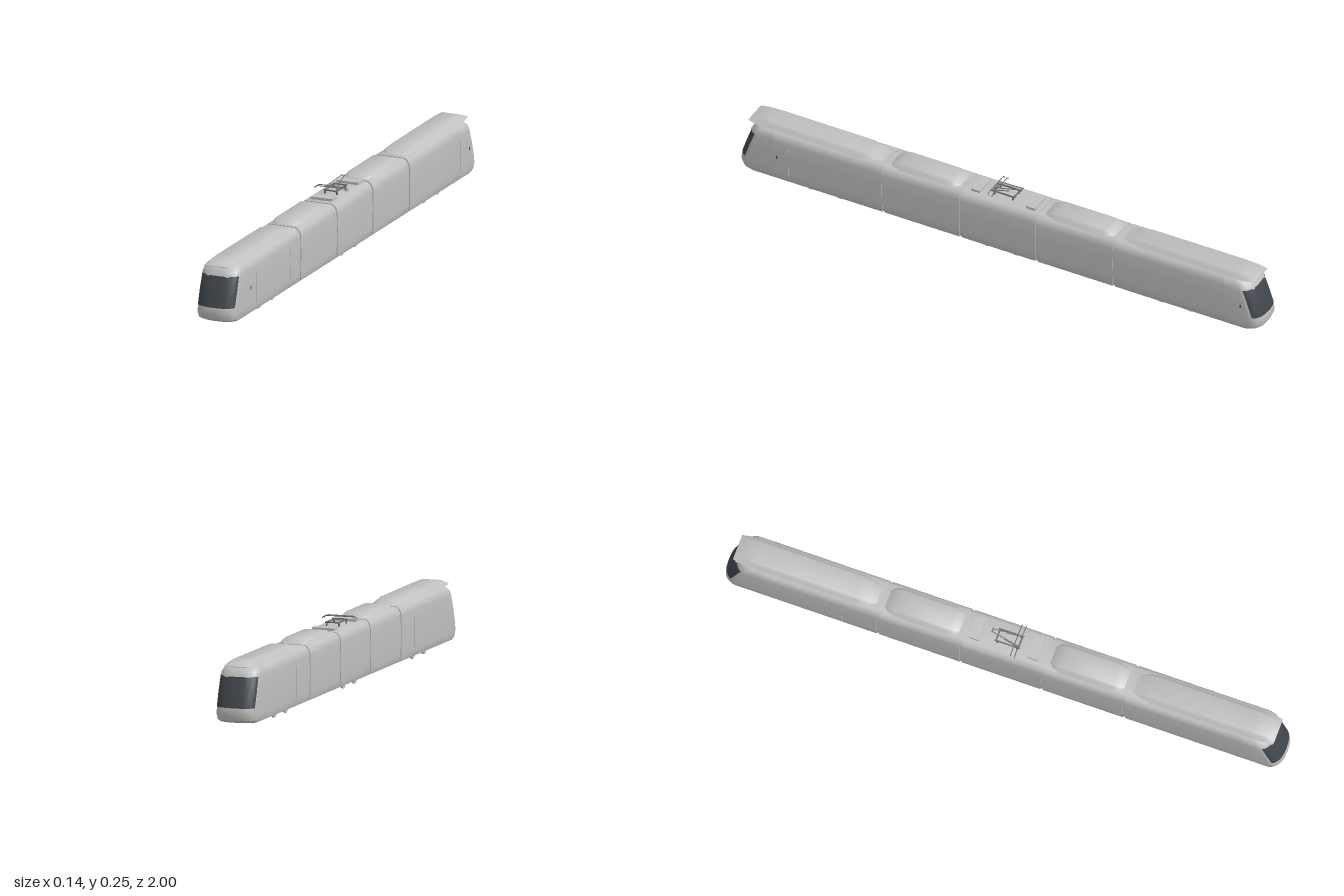
import * as THREE from 'three';
import { toCreasedNormals } from 'three/addons/utils/BufferGeometryUtils.js';

const mat = (name, color) => {
  const m = new THREE.MeshStandardMaterial({ color });
  m.name = name;
  return m;
};

// Half width, height and nose reach of the car shell, from the floor to the roof
const PROFILE = [
  [0.066, 0.018, 0.975], [0.069, 0.026, 0.992], [0.07, 0.045, 1.0], [0.0705, 0.07, 0.996],
  [0.071, 0.12, 0.979], [0.07, 0.172, 0.96], [0.068, 0.186, 0.953], [0.061, 0.198, 0.941],
  [0.05, 0.205, 0.925],
];
const GLASS_ROWS = [3, 4];
const NOSE_START = 0.86;

// Skin between closed rings with both ends capped; isSecond sends quads to material 1
function loft(rings, crease, isSecond = () => false) {
  const lists = [[], []];
  const tri = (list, ...pts) => pts.forEach((p) => list.push(p.x, p.y, p.z));
  const n = rings[0].length;
  for (let r = 0; r < rings.length - 1; r++) {
    for (let i = 0; i < n; i++) {
      const j = (i + 1) % n, a = rings[r], b = rings[r + 1];
      const list = lists[isSecond(r, i) ? 1 : 0];
      tri(list, a[i], a[j], b[j]);
      tri(list, a[i], b[j], b[i]);
    }
  }
  [rings[0], rings[rings.length - 1]].forEach((ring, end) => {
    const c = ring.reduce((s, p) => s.add(p), new THREE.Vector3()).divideScalar(n);
    for (let i = 0; i < n; i++) {
      const j = (i + 1) % n;
      if (end) tri(lists[0], c, ring[i], ring[j]);
      else tri(lists[0], c, ring[j], ring[i]);
    }
  });
  const geo = new THREE.BufferGeometry();
  geo.setAttribute('position', new THREE.Float32BufferAttribute([...lists[0], ...lists[1]], 3));
  geo.addGroup(0, lists[0].length / 3, 0);
  geo.addGroup(lists[0].length / 3, lists[1].length / 3, 1);
  return toCreasedNormals(geo, crease);
}

// Straight piece of shell from z0 to z1
function shell(z0, z1, inset = 0) {
  const pts = PROFILE.map(([w, y]) => new THREE.Vector2(w - inset, y + (y < 0.1 ? inset : -inset)));
  const left = pts.map((p) => new THREE.Vector2(-p.x, p.y)).reverse();
  const geo = new THREE.ExtrudeGeometry(new THREE.Shape([...pts, ...left]), { depth: z1 - z0, bevelEnabled: false });
  return toCreasedNormals(geo.translate(0, 0, z0), 0.6);
}

// Rounded, raked cab built from plan outlines stacked in height
function noseGeometry() {
  const steps = 24;
  const rings = PROFILE.map(([w, y, front]) => {
    const zs = front - 0.042;
    const ring = [new THREE.Vector3(-w, y, NOSE_START)];
    for (let i = 0; i <= steps; i++) {
      const u = -Math.cos((Math.PI * i) / steps);
      ring.push(new THREE.Vector3(w * u, y, zs + 0.042 * Math.pow(Math.max(0, 1 - Math.abs(u) ** 2.5), 0.45)));
    }
    ring.push(new THREE.Vector3(w, y, NOSE_START));
    return ring;
  });
  return loft(rings, 0.6, (r, i) => GLASS_ROWS.includes(r) && i >= 3 && i <= steps - 2);
}

// Roof fairing from stations of [z, base half width, top half width, base y, top y]
function fairing(stations) {
  return loft(stations.map(([z, wb, wt, y0, y1]) => [
    [wb, y0], [wt + 0.3 * (wb - wt), y0 + 0.75 * (y1 - y0)], [wt, y1],
    [-wt, y1], [-wt - 0.3 * (wb - wt), y0 + 0.75 * (y1 - y0)], [-wb, y0],
  ].map(([x, y]) => new THREE.Vector3(x, y, z))), 0.85);
}

export function createModel() {
  const body = mat('body grey', 0xc0c0c0);
  const glass = mat('windscreen glass', 0x40474d);
  const dark = mat('dark trim', 0x505050);
  const metal = mat('pantograph metal', 0x707070);

  const model = new THREE.Group();
  model.name = 'tram';
  const add = (parent, name, geo, material, x = 0, y = 0, z = 0) => {
    const m = new THREE.Mesh(geo, material);
    m.name = name;
    m.position.set(x, y, z);
    parent.add(m);
  };
  const box = (parent, name, w, h, d, material, x, y, z) =>
    add(parent, name, new THREE.BoxGeometry(w, h, d), material, x, y, z);
  const rod = (parent, name, points, r = 0.0016) => {
    const path = new THREE.CurvePath();
    const v = points.map((p) => new THREE.Vector3(...p));
    for (let i = 1; i < v.length; i++) path.add(new THREE.LineCurve3(v[i - 1], v[i]));
    add(parent, name, new THREE.TubeGeometry(path, (v.length - 1) * 4, r, 8), metal);
  };

  // Two matching halves, each with an end car and an intermediate car
  const halfParts = {
    cab: [noseGeometry(), [body, glass]],
    endCar: [shell(0.444, NOSE_START), body],
    middleCar: [shell(0.149, 0.436), body],
    outerBellows: [shell(0.435, 0.445, 0.003), body],
    innerBellows: [shell(0.14, 0.15, 0.003), body],
    endFairing: [fairing([
      [0.46, 0.034, 0.03, 0.203, 0.2055], [0.49, 0.05, 0.034, 0.203, 0.212], [0.53, 0.054, 0.038, 0.203, 0.22],
      [0.88, 0.054, 0.038, 0.203, 0.221], [0.93, 0.054, 0.034, 0.204, 0.221], [0.967, 0.046, 0.034, 0.2055, 0.2075],
    ]), body],
    middleFairing: [fairing([
      [0.163, 0.034, 0.03, 0.203, 0.2055], [0.175, 0.048, 0.034, 0.203, 0.212], [0.2, 0.054, 0.038, 0.203, 0.22],
      [0.39, 0.054, 0.038, 0.203, 0.22], [0.415, 0.048, 0.034, 0.203, 0.212], [0.428, 0.034, 0.03, 0.203, 0.2055],
    ]), body],
  };
  for (const [name, turn] of [['frontHalf', 0], ['rearHalf', Math.PI]]) {
    const half = new THREE.Group();
    half.name = name;
    half.rotation.y = turn;
    for (const [part, [geo, material]] of Object.entries(halfParts)) add(half, part, geo, material);
    // Wiper mounts above the screen
    for (const x of [-0.036, 0.036]) box(half, 'wiperMount', 0.01, 0.002, 0.006, body, x, 0.171, 0.957);
    model.add(half);
  }
  add(model, 'centreCar', shell(-0.141, 0.141), body);

  // Wheels
  const wheel = new THREE.CylinderGeometry(0.02, 0.02, 0.006, 24).rotateZ(Math.PI / 2);
  for (const z of [0.727, 0.617, 0.056, -0.054, -0.61, -0.72])
    for (const x of [-0.045, 0.045]) add(model, 'wheel', wheel, body, x, 0.02, z);

  // Raised door seams, and cab side lamps on the left
  for (const [side, z] of [[-1, 0.57], [-1, -0.57], [1, 0.8], [1, 0.52], [1, -0.34], [1, -0.57], [1, -0.85]])
    box(model, 'doorSeam', 0.002, 0.11, 0.002, body, side * 0.0705, 0.1, z);
  for (const z of [0.845, -0.925]) box(model, 'sideLamp', 0.003, 0.012, 0.005, dark, 0.0702, 0.108, z);

  // Roof equipment boxes
  for (const z of [-0.108, 0.102]) box(model, 'roofBox', 0.08, 0.01, 0.034, body, 0, 0.209, z);

  // Pantograph
  const panto = new THREE.Group();
  panto.name = 'pantograph';
  model.add(panto);
  for (const s of [-1, 1]) {
    box(panto, 'baseRail', 0.004, 0.004, 0.09, metal, s * 0.022, 0.219, 0.005);
    for (const z of [-0.03, 0.04]) box(panto, 'insulator', 0.005, 0.014, 0.005, metal, s * 0.022, 0.211, z);
    rod(panto, 'lowerArm', [[s * 0.02, 0.22, 0.045], [s * 0.012, 0.23, -0.01]]);
    rod(panto, 'upperArm', [[s * 0.02, 0.23, 0.045], [s * 0.005, 0.245, -0.055]]);
  }
  for (const z of [-0.035, 0.045]) box(panto, 'baseCrossbar', 0.048, 0.004, 0.005, metal, 0, 0.219, z);
  rod(panto, 'apexBar', [[-0.008, 0.2455, -0.055], [0.008, 0.2455, -0.055]]);
  for (const z of [0.03, 0.045])
    rod(panto, 'contactBar', [[-0.06, 0.222, z], [-0.053, 0.229, z], [-0.045, 0.231, z],
      [0.045, 0.231, z], [0.053, 0.229, z], [0.06, 0.222, z]]);

  return model;
}
